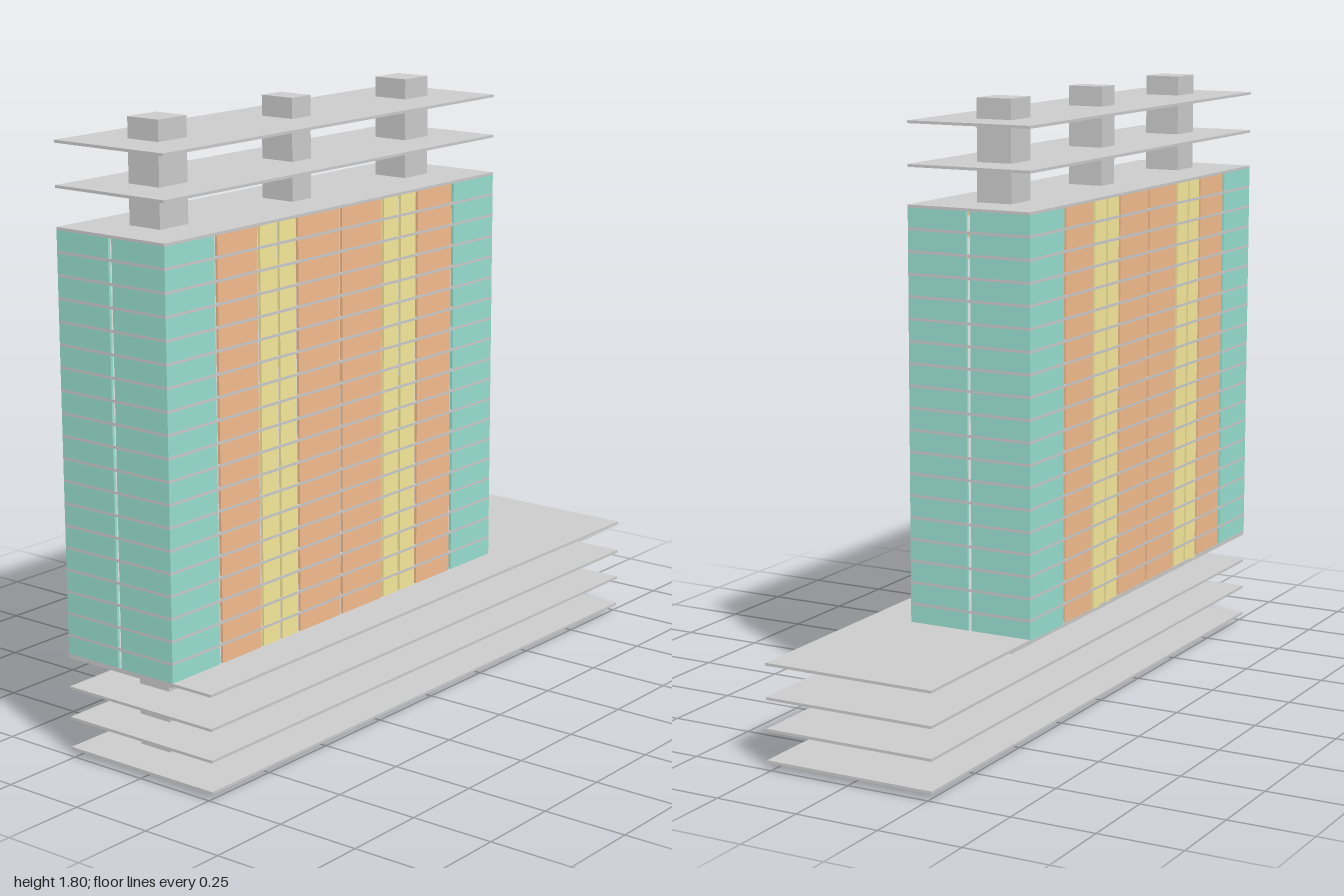
import * as THREE from 'three';
import { mergeGeometries } from 'three/addons/utils/BufferGeometryUtils.js';

const X0 = -0.262, X1 = 0.126, Z0 = -0.462, Z1 = 1;   // tower footprint
const BASE = 0.292, TOP = 1.507, FLOORS = 19, SLAB = 0.008;
const PITCH = (TOP - SLAB - BASE) / FLOORS;
const GAP = 0.012, SKIN = 0.008;

const mat = (color) => new THREE.MeshStandardMaterial({ color });

// Box given by its minimum and maximum corners
function box(x0, x1, y0, y1, z0, z1) {
  return new THREE.BoxGeometry(x1 - x0, y1 - y0, z1 - z0)
    .translate((x0 + x1) / 2, (y0 + y1) / 2, (z0 + z1) / 2);
}

export function createModel() {
  const model = new THREE.Group();
  model.name = 'towerBuilding';
  const grey = mat(0xcccccc), teal = mat(0x97ded0), orange = mat(0xf3bc8f), yellow = mat(0xf7e99c);

  const add = (parent, name, geometry, material = grey) => {
    const mesh = new THREE.Mesh(geometry, material);
    mesh.name = name;
    parent.add(mesh);
  };
  const group = (name) => {
    const g = new THREE.Group();
    g.name = name;
    model.add(g);
    return g;
  };

  // Wide podium decks
  const podium = group('podium');
  [0.02, 0.11, 0.2, 0.297].forEach((y) =>
    add(podium, 'podiumSlab', box(X0, 0.262, y, y + SLAB, -1, 1)));

  // Tower floors, flush with the cladding, and two open roof decks
  const floors = group('floors');
  for (let i = 0; i <= FLOORS; i++) {
    const y = BASE + i * PITCH;
    add(floors, 'floorSlab', box(X0, X1, y, y + SLAB, Z0, Z1));
  }
  [1.612, 1.733].forEach((y) =>
    add(floors, 'roofDeck', box(X0, X1, y, y + SLAB, Z0, Z1)));

  // Square cores running full height, each on a footing
  const cores = group('cores');
  [[0.75, 0.862], [0.23, 0.312], [-0.32, -0.21]].forEach(([a, b]) => {
    const m = (b - a) * 0.37;
    add(cores, 'core', box(-0.125, -0.015, 0, 1.8, a, b));
    add(cores, 'footing', box(-0.165, 0.025, 0, 0.02, a - m, b + m));
  });

  // A bay of cladding: one panel per storey between the slabs
  const facade = group('facade');
  const bay = (name, material, x0, x1, z0, z1) => {
    const panels = [];
    for (let i = 0; i < FLOORS; i++) {
      const y = BASE + i * PITCH;
      panels.push(box(x0, x1, y + SLAB, y + PITCH, z0, z1));
    }
    add(facade, name, mergeGeometries(panels), material);
  };

  // Long sides
  const joints = [Z1, 0.8, 0.626, 0.545, 0.465, 0.272, 0.08, 0, -0.081, -0.257, Z0];
  const colours = [teal, orange, yellow, yellow, orange, orange, yellow, yellow, orange, teal];
  colours.forEach((material, i) => {
    const z1 = joints[i] - (i === 0 ? 0 : GAP / 2);
    const z0 = joints[i + 1] + (i === colours.length - 1 ? 0 : GAP / 2);
    bay('leftSidePanels', material, X1 - SKIN, X1, z0, z1);
    bay('rightSidePanels', material, X0, X0 + SKIN, z0, z1);
  });

  // Short ends, two bays each
  const mid = (X0 + X1) / 2;
  [['front', Z1 - SKIN, Z1], ['back', Z0, Z0 + SKIN]].forEach(([side, z0, z1]) => {
    bay(side + 'Panels', teal, X0 + SKIN, mid - GAP / 2, z0, z1);
    bay(side + 'Panels', teal, mid + GAP / 2, X1 - SKIN, z0, z1);
  });

  return model;
}
